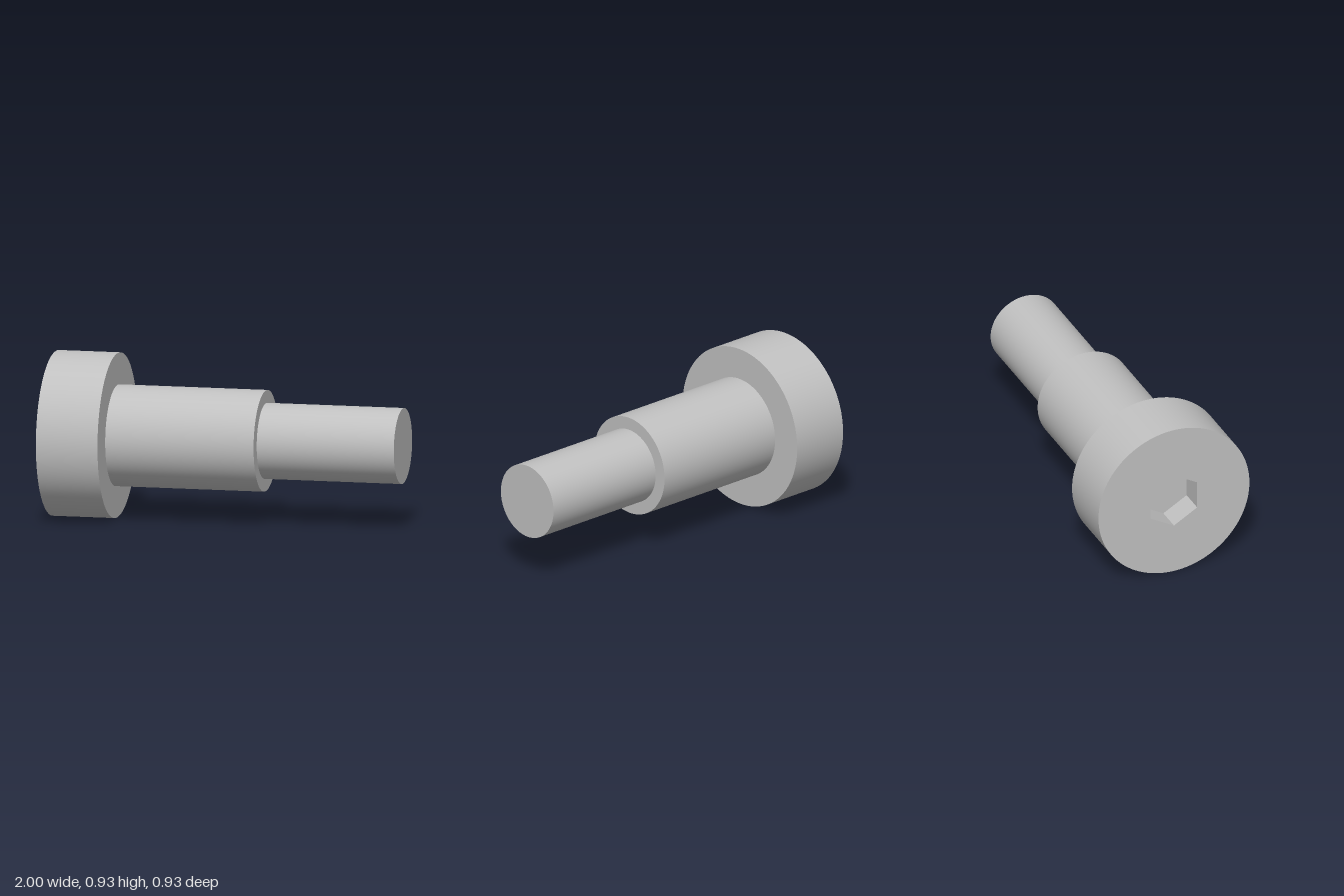
import * as THREE from 'three';

const SEGMENTS = 96;
const HEAD_R = 0.464, SHOULDER_R = 0.285, TIP_R = 0.213;
const HEAD_START = -1, HEAD_END = -0.645, SHOULDER_END = 0.21, TIP_END = 1;
const SOCKET_R = 0.165, SOCKET_DEPTH = 0.142;

export function createModel() {
  const steel = new THREE.MeshStandardMaterial({ color: 0xc0c0c0 });
  steel.name = 'steel grey';

  // Parts are built along y, then the whole bolt is laid along x
  const bolt = new THREE.Group();
  bolt.name = 'shoulderBolt';
  const add = (name, geometry, y) => {
    const mesh = new THREE.Mesh(geometry, steel);
    mesh.name = name;
    mesh.position.y = y;
    bolt.add(mesh);
  };

  // Round side walls
  const wall = (name, r, start, end) =>
    add(name, new THREE.CylinderGeometry(r, r, end - start, SEGMENTS, 1, true), (start + end) / 2);
  wall('headSide', HEAD_R, HEAD_START, HEAD_END);
  wall('shoulderSide', SHOULDER_R, HEAD_END, SHOULDER_END);
  wall('tipSide', TIP_R, SHOULDER_END, TIP_END);

  // Step faces and the tip's end, all facing the tip
  const step = (name, inner, outer, y) =>
    add(name, new THREE.RingGeometry(inner, outer, SEGMENTS).rotateX(-Math.PI / 2), y);
  step('headUnderside', SHOULDER_R, HEAD_R, HEAD_END);
  step('shoulderStep', TIP_R, SHOULDER_R, SHOULDER_END);
  add('tipEnd', new THREE.CircleGeometry(TIP_R, SEGMENTS).rotateX(-Math.PI / 2), TIP_END);

  // Head face with a hexagonal opening
  const face = new THREE.Shape().absarc(0, 0, HEAD_R, 0, Math.PI * 2);
  const hexagon = Array.from({ length: 6 }, (_, i) => {
    const a = -i * Math.PI / 3;
    return new THREE.Vector2(SOCKET_R * Math.cos(a), SOCKET_R * Math.sin(a));
  });
  face.holes.push(new THREE.Path(hexagon));
  add('headFace', new THREE.ShapeGeometry(face, SEGMENTS).rotateX(Math.PI / 2), HEAD_START);

  // Socket walls, mirrored so that they face inward, and the socket floor
  const socket = new THREE.CylinderGeometry(SOCKET_R, SOCKET_R, SOCKET_DEPTH, 6, 1, true, Math.PI / 2)
    .scale(1, 1, -1).toNonIndexed();
  socket.computeVertexNormals();
  add('socketWalls', socket, HEAD_START + SOCKET_DEPTH / 2);
  add('socketFloor', new THREE.CircleGeometry(SOCKET_R, 6).rotateX(Math.PI / 2), HEAD_START + SOCKET_DEPTH);

  bolt.rotation.z = -Math.PI / 2;
  bolt.position.y = HEAD_R;

  const model = new THREE.Group();
  model.name = 'model';
  model.add(bolt);
  return model;
}
